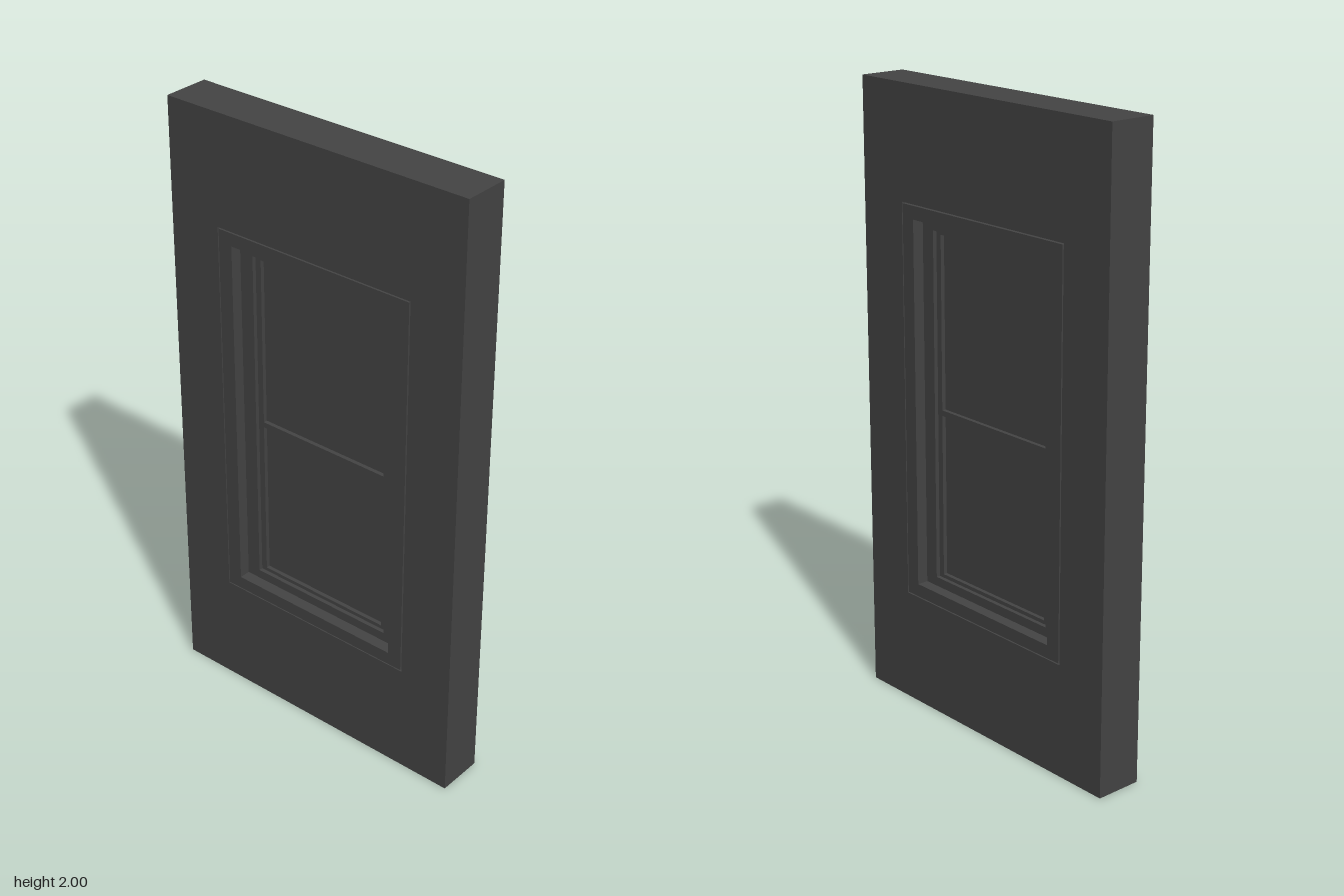
import * as THREE from 'three';

const CENTRE_Y = 1.004; // middle height of the window

export function createModel() {
  const model = new THREE.Group();
  model.name = 'wallWithWindow';
  const material = new THREE.MeshStandardMaterial({ color: 0x444444, flatShading: true });

  function add(name, geometry, y = 0) {
    const mesh = new THREE.Mesh(geometry, material);
    mesh.name = name;
    mesh.position.y = y;
    model.add(mesh);
  }

  // Traces a rectangle centred on x = 0 at the given height.
  function rectangle(path, [halfW, halfH], y = 0) {
    path.moveTo(-halfW, y - halfH);
    path.lineTo(halfW, y - halfH);
    path.lineTo(halfW, y + halfH);
    path.lineTo(-halfW, y + halfH);
    path.closePath();
    return path;
  }

  // Rectangular ring lying in the wall plane, centred through its thickness.
  function ring(outer, inner, thickness, holeY = 0) {
    const shape = rectangle(new THREE.Shape(), outer);
    shape.holes.push(rectangle(new THREE.Path(), inner, holeY));
    const geometry = new THREE.ExtrudeGeometry(shape, { depth: thickness, bevelEnabled: false });
    geometry.translate(0, 0, -thickness / 2);
    geometry.rotateY(Math.PI / 2);
    return geometry;
  }

  // Half width and half height of each nested step of the window.
  const opening = [0.356, 0.637];
  const casingOuter = [0.352, 0.633];
  const casingInner = [0.303, 0.591];
  const frameInner = [0.255, 0.561];
  const sashInner = [0.235, 0.549];

  // Wall panel with its window opening
  add('wall', ring([0.537, 1], opening, 0.153, CENTRE_Y - 1), 1);

  // Casing trim, set in the opening with a fine shadow gap around it
  add('casing', ring(casingOuter, casingInner, 0.154), CENTRE_Y);

  // Recessed frame, reaching behind the casing to close the gap, and sash
  add('frame', ring(opening, frameInner, 0.08), CENTRE_Y);
  add('sash', ring(frameInner, sashInner, 0.054), CENTRE_Y);

  // Rail between the two panes
  add('meetingRail', new THREE.BoxGeometry(0.054, 0.018, sashInner[0] * 2), 0.992);

  // Upper and lower panes
  const bottom = CENTRE_Y - sashInner[1];
  const top = CENTRE_Y + sashInner[1];
  for (const [name, y0, y1] of [['lowerPane', bottom, 0.983], ['upperPane', 1.001, top]]) {
    add(name, new THREE.BoxGeometry(0.028, y1 - y0, sashInner[0] * 2), (y0 + y1) / 2);
  }

  return model;
}
